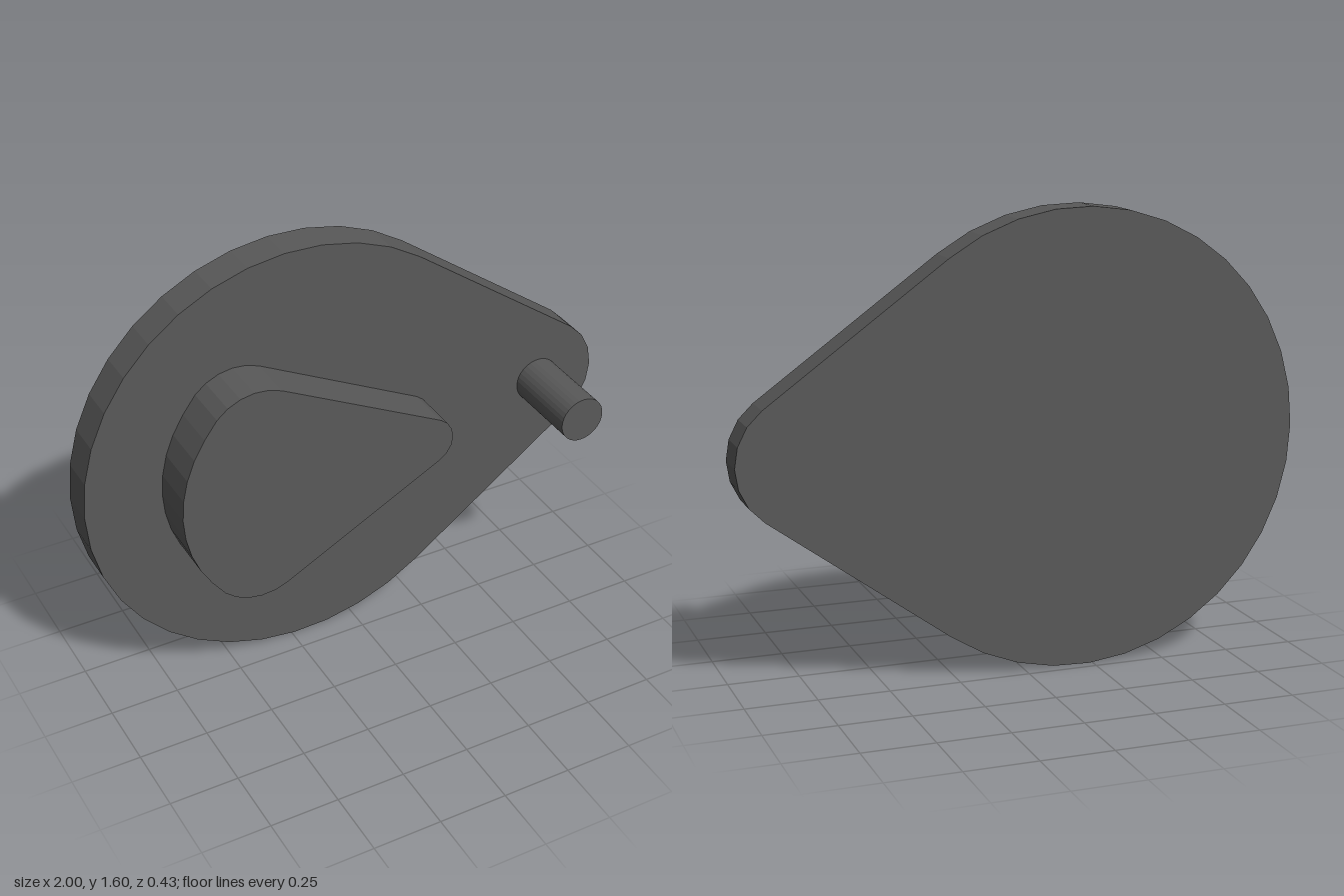
import * as THREE from 'three';

const steel = new THREE.MeshStandardMaterial({ color: 0x595959, flatShading: true });
steel.name = 'dark grey metal';

// Points along an arc, angles in degrees, counter-clockwise
function arc(cx, cy, r, from, to, steps) {
  return Array.from({ length: steps + 1 }, (_, i) => {
    const a = THREE.MathUtils.degToRad(from + ((to - from) * i) / steps);
    return new THREE.Vector2(cx + r * Math.cos(a), cy + r * Math.sin(a));
  });
}

// Straight slab from an outline, between two depths
function slab(name, points, back, front) {
  const geometry = new THREE.ExtrudeGeometry(new THREE.Shape(points), {
    depth: front - back,
    bevelEnabled: false,
  });
  geometry.translate(0, 0, back);
  const mesh = new THREE.Mesh(geometry, steel);
  mesh.name = name;
  return mesh;
}

export function createModel() {
  const group = new THREE.Group();
  group.name = 'crankCam';
  const midY = 0.8;

  // Teardrop plate: a large and a small circle joined by tangents
  group.add(slab('backPlate', [
    ...arc(-0.2, midY, 0.8, 54, 306, 26),
    ...arc(0.77, midY, 0.23, -54, 54, 6),
  ], -0.215, -0.085));

  // Raised rounded sector: tip, upper corner, curved back, lower corner
  group.add(slab('raisedPad', [
    ...arc(0.22, midY, 0.095, -62.7, 62.7, 6),
    ...arc(-0.435, midY + 0.222, 0.2, 62.7, 136.6, 5),
    ...arc(-0.2, midY, 0.52, 136.6, 223.4, 10).slice(1, -1),
    ...arc(-0.435, midY - 0.222, 0.2, 223.4, 297.3, 5),
  ], -0.085, 0.085));

  // Pin near the narrow end
  const pin = new THREE.Mesh(new THREE.CylinderGeometry(0.085, 0.085, 0.3, 32), steel);
  pin.name = 'pin';
  pin.rotation.x = Math.PI / 2;
  pin.position.set(0.77, midY, 0.065);
  group.add(pin);

  return group;
}
